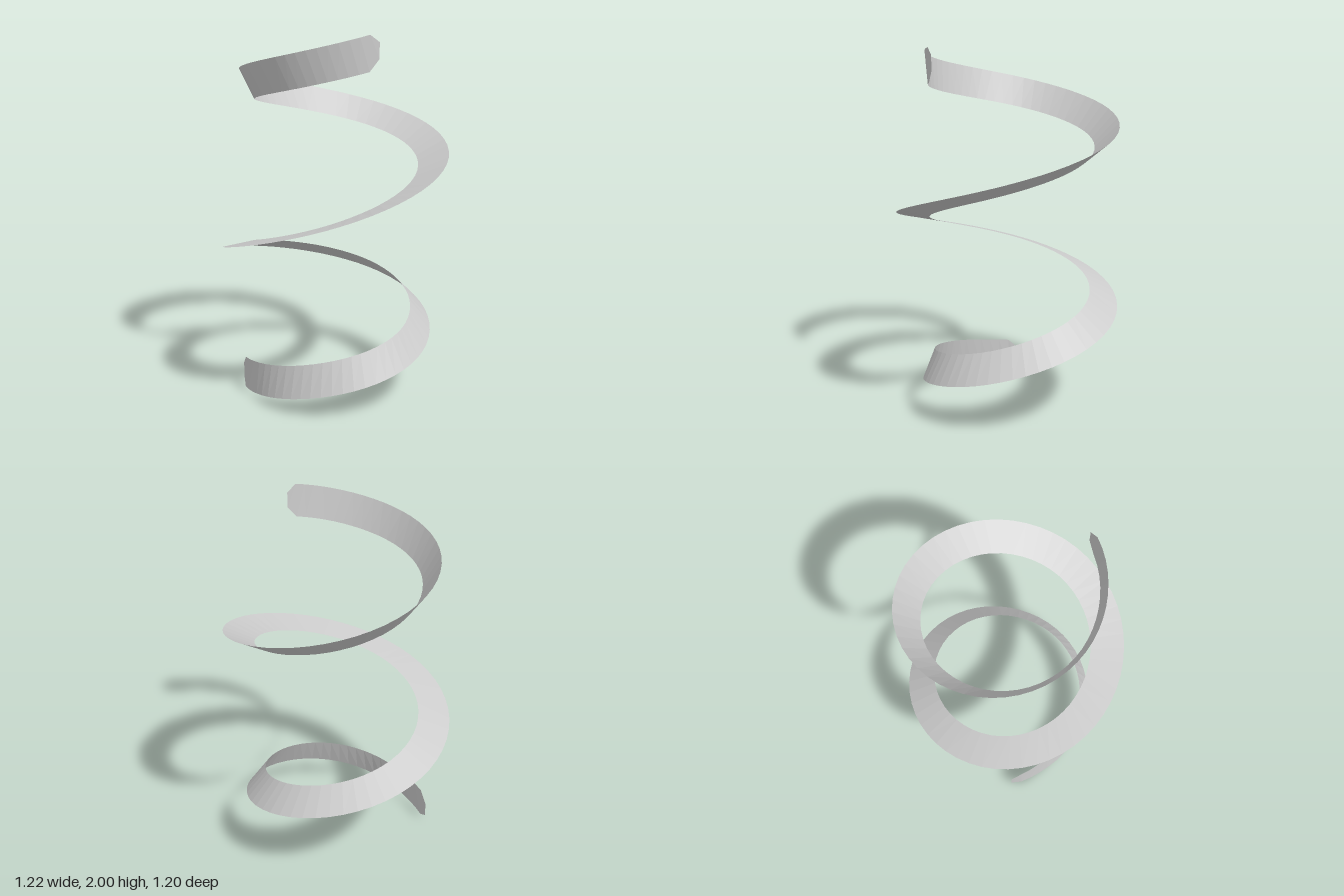
import * as THREE from 'three';

const SEGMENTS = 120;
const HALF_WIDTH = 0.09;

// Centre line as [turn in degrees from the front towards +x, radius, height]
const PATH = [
  [-73, 0.52, 0.083], [-45, 0.465, 0.125], [0, 0.44, 0.2], [90, 0.465, 0.36],
  [180, 0.525, 0.58], [270, 0.53, 0.79], [360, 0.51, 1.02], [450, 0.525, 1.275],
  [540, 0.535, 1.495], [630, 0.48, 1.68], [720, 0.425, 1.835], [771, 0.43, 1.922],
];

// Coiled strip that makes half a twist along its length
function ribbonGeometry() {
  const rad = THREE.MathUtils.degToRad;
  const curve = new THREE.CatmullRomCurve3(PATH.map(([a, r, y]) => new THREE.Vector3(rad(a), r, y)));
  const rings = curve.getSpacedPoints(SEGMENTS);
  const positions = [];
  const indices = [];

  rings.forEach(({ x: turn, y: radius, z: height }, i) => {
    // Vertical at both ends, lying flat in the middle
    const tilt = (i / SEGMENTS - 0.5) * Math.PI;
    // Clipped corners at the two tips
    const half = i === 0 || i === SEGMENTS ? HALF_WIDTH * 0.45 : HALF_WIDTH;
    for (const side of [-1, 1]) {
      const r = radius + side * half * Math.cos(tilt);
      const y = height + side * half * Math.sin(tilt);
      positions.push(r * Math.sin(turn), y, r * Math.cos(turn));
    }
    if (i < SEGMENTS) {
      const a = i * 2;
      indices.push(a, a + 1, a + 2, a + 1, a + 3, a + 2);
    }
  });

  const geometry = new THREE.BufferGeometry();
  geometry.setAttribute('position', new THREE.Float32BufferAttribute(positions, 3));
  geometry.setIndex(indices);
  geometry.computeVertexNormals();
  return geometry;
}

export function createModel() {
  const group = new THREE.Group();
  group.name = 'twistedSpiral';
  const material = new THREE.MeshStandardMaterial({
    color: 0xcccccc, flatShading: true, side: THREE.DoubleSide,
  });
  const ribbon = new THREE.Mesh(ribbonGeometry(), material);
  ribbon.name = 'ribbon';
  group.add(ribbon);
  return group;
}
